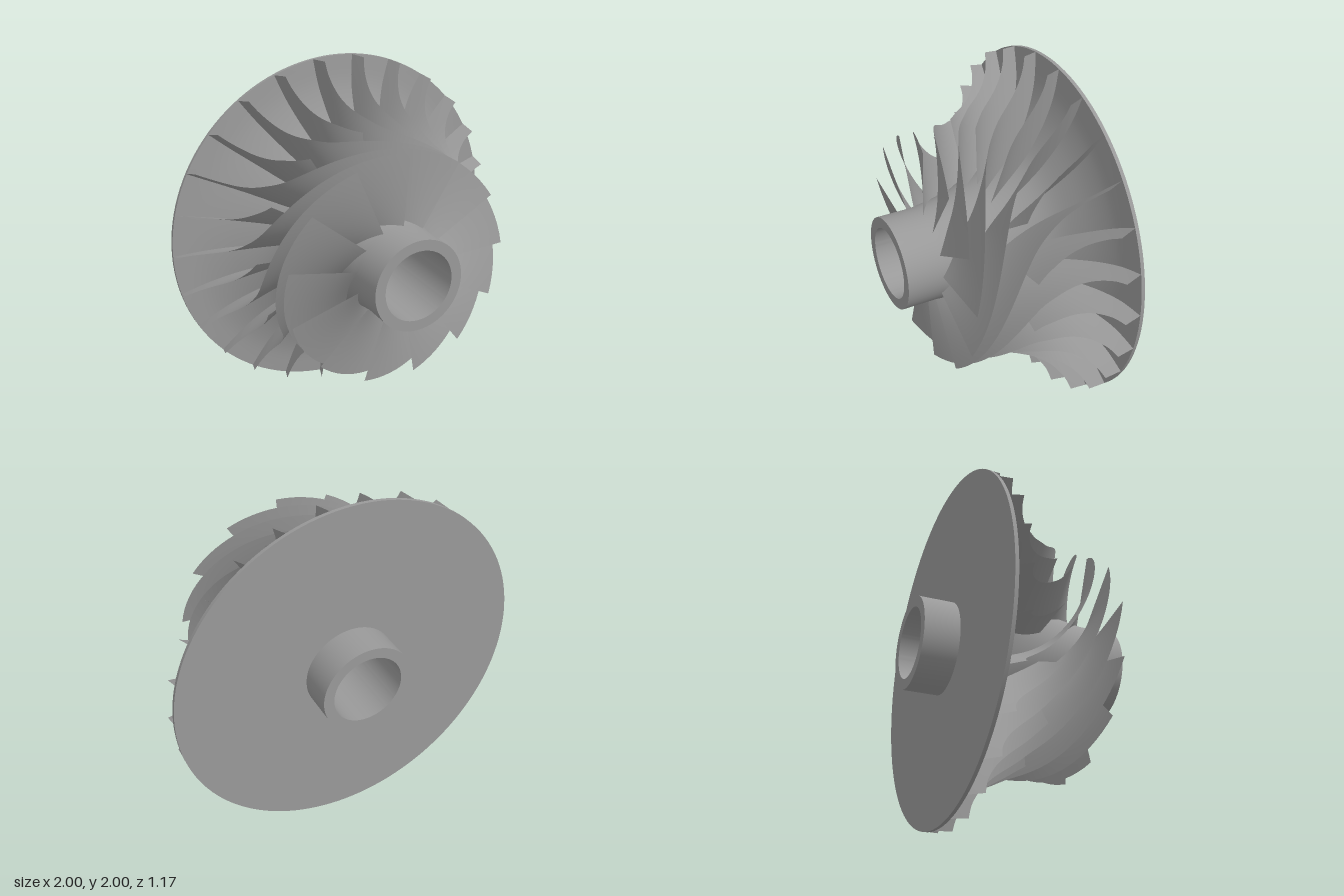
import * as THREE from 'three';
import { toCreasedNormals } from 'three/addons/utils/BufferGeometryUtils.js';

const DEG = Math.PI / 180;
const BLADES = 13;
const STEP = 360 / BLADES;
const COLOR = 0x999999;
const curve = pts => new THREE.SplineCurve(pts.map(p => new THREE.Vector2(...p)));

// meridional profiles as (radius, z), front to back
const hub = curve([[0.26, 0.385], [0.29, 0.2], [0.36, 0], [0.48, -0.17], [0.65, -0.28], [0.83, -0.345], [1, -0.365]]);
const shroud = curve([[0.66, 0.385], [0.66, 0.2], [0.68, 0.04], [0.72, -0.05], [0.77, -0.14], [0.835, -0.21], [0.92, -0.26], [1, -0.28]]);

// blade wrap angle: a slight lean at the rim, growing steep towards the inlet
const wrap = z => -DEG * (20 * (z + 0.365) + 80 * Math.pow(Math.max(0, z + 0.28) / 0.665, 2.85));

// parameter at which a profile reaches a given z
function paramAtZ(c, z) {
  let a = 0, b = 1;
  for (let i = 0; i < 30; i++) {
    const m = (a + b) / 2;
    if (c.getPointAt(m).y > z) a = m; else b = m;
  }
  return a;
}

// thin blade spanning hub to shroud, from its leading edge back to the rim
function bladeGeometry(leadZ) {
  const h0 = paramAtZ(hub, leadZ), s0 = paramAtZ(shroud, leadZ);
  const N = 64, M = 8, pos = [], idx = [];
  for (let i = 0; i <= N; i++) {
    const a = hub.getPointAt(h0 + (1 - h0) * i / N);
    const b = shroud.getPointAt(s0 + (1 - s0) * i / N);
    for (let j = 0; j <= M; j++) {
      const p = a.clone().lerp(b, j / M);
      const t = wrap(p.y);
      pos.push(p.x * Math.cos(t), p.x * Math.sin(t), p.y);
    }
  }
  for (let i = 0; i < N; i++) for (let j = 0; j < M; j++) {
    const a = i * (M + 1) + j, b = a + M + 1;
    idx.push(a, b + 1, b, a, a + 1, b + 1);
  }
  const g = new THREE.BufferGeometry();
  g.setAttribute('position', new THREE.Float32BufferAttribute(pos, 3));
  g.setIndex(idx);
  g.computeVertexNormals();
  return g;
}

export function createModel() {
  const model = new THREE.Group();
  model.name = 'impeller';
  const wheel = new THREE.Group();
  wheel.name = 'wheel';
  wheel.position.y = 1;
  model.add(wheel);

  // hub, back disc and bored shaft collars in one turned body
  const flare = [];
  for (let i = 0; i <= 32; i++) flare.push(hub.getPointAt(1 - i / 32));
  const corners = pts => pts.map(p => new THREE.Vector2(...p));
  const outline = [
    ...corners([[0.2, -0.585], [0.26, -0.585], [0.26, -0.385], [1, -0.385]]),
    ...flare,
    ...corners([[0.26, 0.585], [0.2, 0.585], [0.2, -0.585]]),
  ];
  const body = toCreasedNormals(new THREE.LatheGeometry(outline, 128), 30 * DEG);
  body.rotateX(Math.PI / 2);
  const hubMesh = new THREE.Mesh(body, new THREE.MeshStandardMaterial({ color: COLOR }));
  hubMesh.name = 'hubAndBackDisc';
  wheel.add(hubMesh);

  // full blades alternating with shorter splitter blades
  const bladeMaterial = new THREE.MeshStandardMaterial({ color: COLOR, side: THREE.DoubleSide });
  const addBlades = (name, leadZ, start) => {
    const geometry = bladeGeometry(leadZ);
    const ring = new THREE.Group();
    ring.name = name + 's';
    for (let i = 0; i < BLADES; i++) {
      const blade = new THREE.Mesh(geometry, bladeMaterial);
      blade.name = name;
      blade.rotation.z = (start + i * STEP) * DEG;
      ring.add(blade);
    }
    wheel.add(ring);
  };
  addBlades('mainBlade', 0.385, STEP / 2);
  addBlades('splitterBlade', 0.04, 0);

  return model;
}
